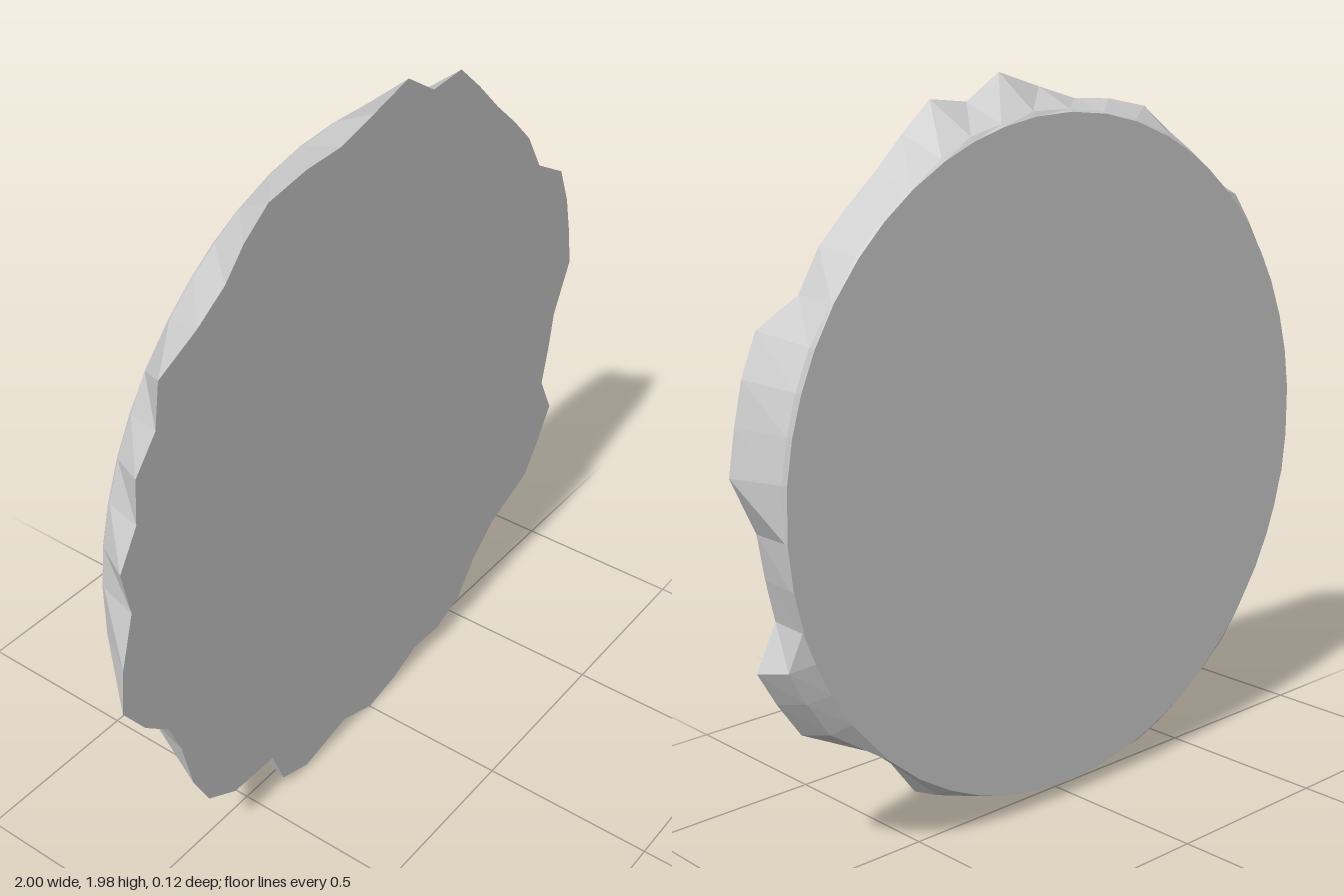
import * as THREE from 'three';

// Wavy front rim, counter-clockwise, x and y pairs
const RIM = [
  1, 1.07, 0.98, 1.19, 0.955, 1.3, 0.91, 1.41, 0.785, 1.48, 0.72, 1.59, 0.64, 1.67, 0.55, 1.75, 0.46, 1.84, 0.37, 1.92,
  0.25, 1.91, 0.14, 1.98, 0, 1.94, -0.13, 1.905, -0.26, 1.9, -0.4, 1.875, -0.49, 1.81, -0.56, 1.735, -0.66, 1.67, -0.795, 1.605,
  -0.815, 1.48, -0.89, 1.39, -0.9, 1.265, -0.965, 1.16, -0.94, 1.03, -0.985, 0.88, -1, 0.75, -0.93, 0.65, -0.85, 0.58, -0.81, 0.48,
  -0.775, 0.325, -0.72, 0.22, -0.615, 0.16, -0.455, 0.155, -0.41, 0.04, -0.305, 0.005, -0.125, 0.045, 0, 0, 0.12, 0.025, 0.23, 0.07,
  0.35, 0.065, 0.46, 0.11, 0.54, 0.215, 0.64, 0.3, 0.82, 0.375, 0.89, 0.475, 0.945, 0.57, 0.885, 0.69, 0.91, 0.8, 0.93, 0.92,
];
const CX = 0.01, CY = 0.96, R = 0.92, HALF = 0.062;

// Cross-sections from front to back: wavy rim, shoulder, round back edge
function makeRings() {
  const rings = [[], [], []];
  for (let i = 0; i < RIM.length; i += 2) {
    const x = RIM[i], y = RIM[i + 1];
    const a = Math.atan2(y - CY, x - CX);
    const r = Math.hypot(x - CX, y - CY);
    // the shoulder sits further forward on the lower +x side
    const low = a > -1.1 && a < -0.35;
    const mid = R + (r - R) * (low ? 0.6 : 0.12);
    const at = (rad, z) => [CX + rad * Math.cos(a), CY + rad * Math.sin(a), z];
    rings[0].push([x, y, HALF]);
    rings[1].push(at(mid, low ? -0.022 : -0.053));
    rings[2].push(at(R, -HALF));
  }
  return rings;
}

function meshFrom(name, positions, material) {
  const geometry = new THREE.BufferGeometry();
  geometry.setAttribute('position', new THREE.Float32BufferAttribute(positions, 3));
  geometry.computeVertexNormals();
  const mesh = new THREE.Mesh(geometry, material);
  mesh.name = name;
  return mesh;
}

export function createModel() {
  const material = new THREE.MeshStandardMaterial({ color: 0xcccccc, flatShading: true });
  const rings = makeRings();
  const n = rings[0].length;
  const front = [], wall = [], back = [];

  for (let i = 0; i < n; i++) {
    const j = (i + 1) % n;
    // flat faces as fans around the centre
    front.push(CX, CY, HALF, ...rings[0][i], ...rings[0][j]);
    back.push(CX, CY, -HALF, ...rings[2][j], ...rings[2][i]);
    // tapering wall between neighbouring cross-sections
    for (let k = 0; k < 2; k++) {
      const a = rings[k][i], b = rings[k][j], c = rings[k + 1][j], d = rings[k + 1][i];
      wall.push(...a, ...d, ...b, ...b, ...d, ...c);
    }
  }

  const group = new THREE.Group();
  group.name = 'wavyDisc';
  group.add(
    meshFrom('frontFace', front, material),
    meshFrom('wavyRim', wall, material),
    meshFrom('backFace', back, material),
  );
  return group;
}
